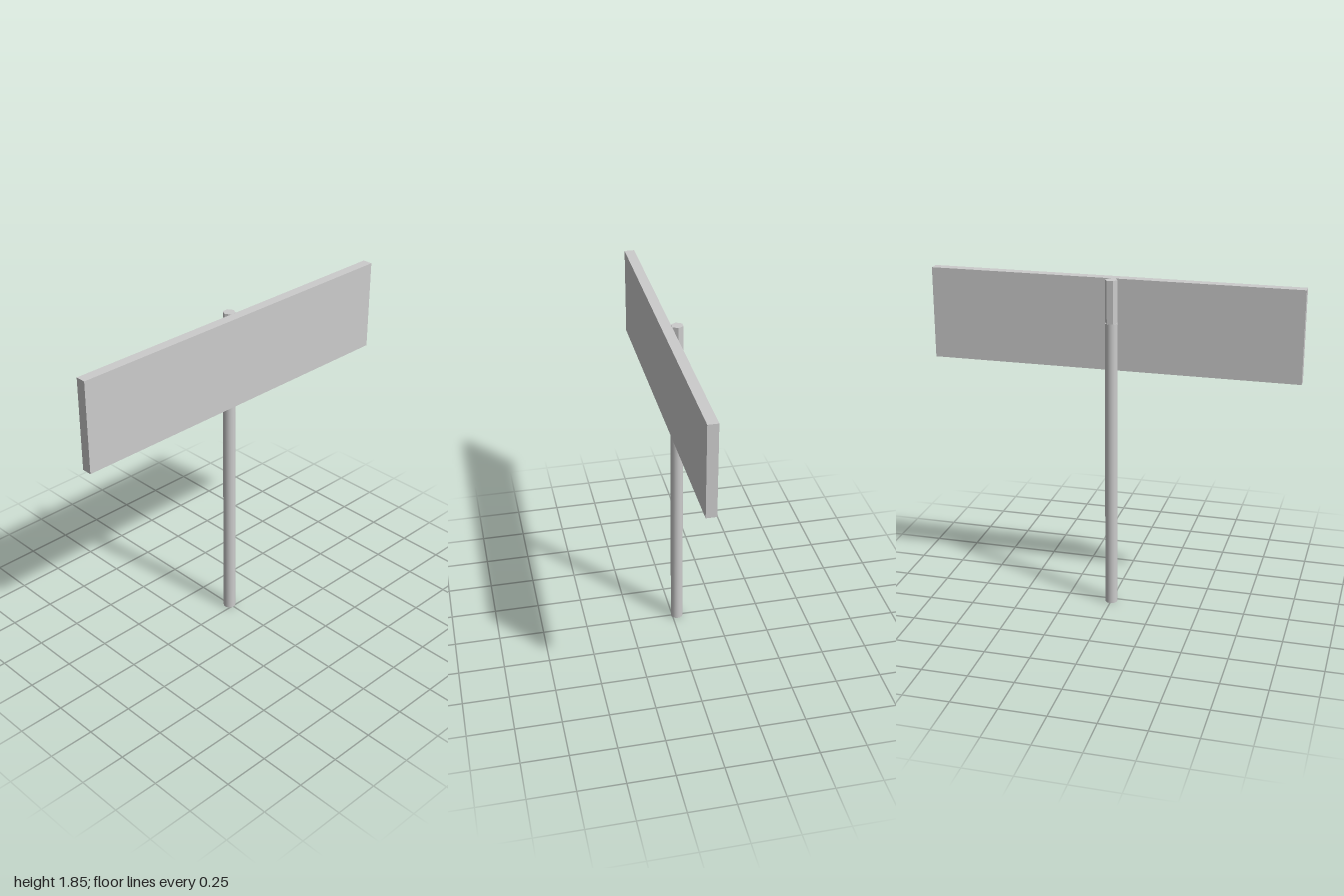
import * as THREE from 'three';

export function createModel() {
  const group = new THREE.Group();
  const material = new THREE.MeshStandardMaterial({ color: 0xcccccc });
  const postZ = -0.026;

  const add = (name, geometry, mat, x, y, z) => {
    const mesh = new THREE.Mesh(geometry, mat);
    mesh.name = name;
    mesh.position.set(x, y, z);
    group.add(mesh);
    return mesh;
  };

  // wide flat sign panel in front of the post
  add('signPanel', new THREE.BoxGeometry(2, 0.497, 0.055), material, 0, 1.6035, 0.0315);

  // round main post
  add('mainPost', new THREE.CylinderGeometry(0.034, 0.034, 1.622, 16), material, 0, 0.811, postZ);

  // slimmer hexagonal extension, one corner towards each side
  const flat = material.clone();
  flat.flatShading = true;
  const hex = new THREE.CylinderGeometry(0.0335, 0.0335, 0.252, 6);
  hex.rotateY(Math.PI / 6);
  add('postExtension', hex, flat, 0, 1.726, postZ);

  return group;
}
